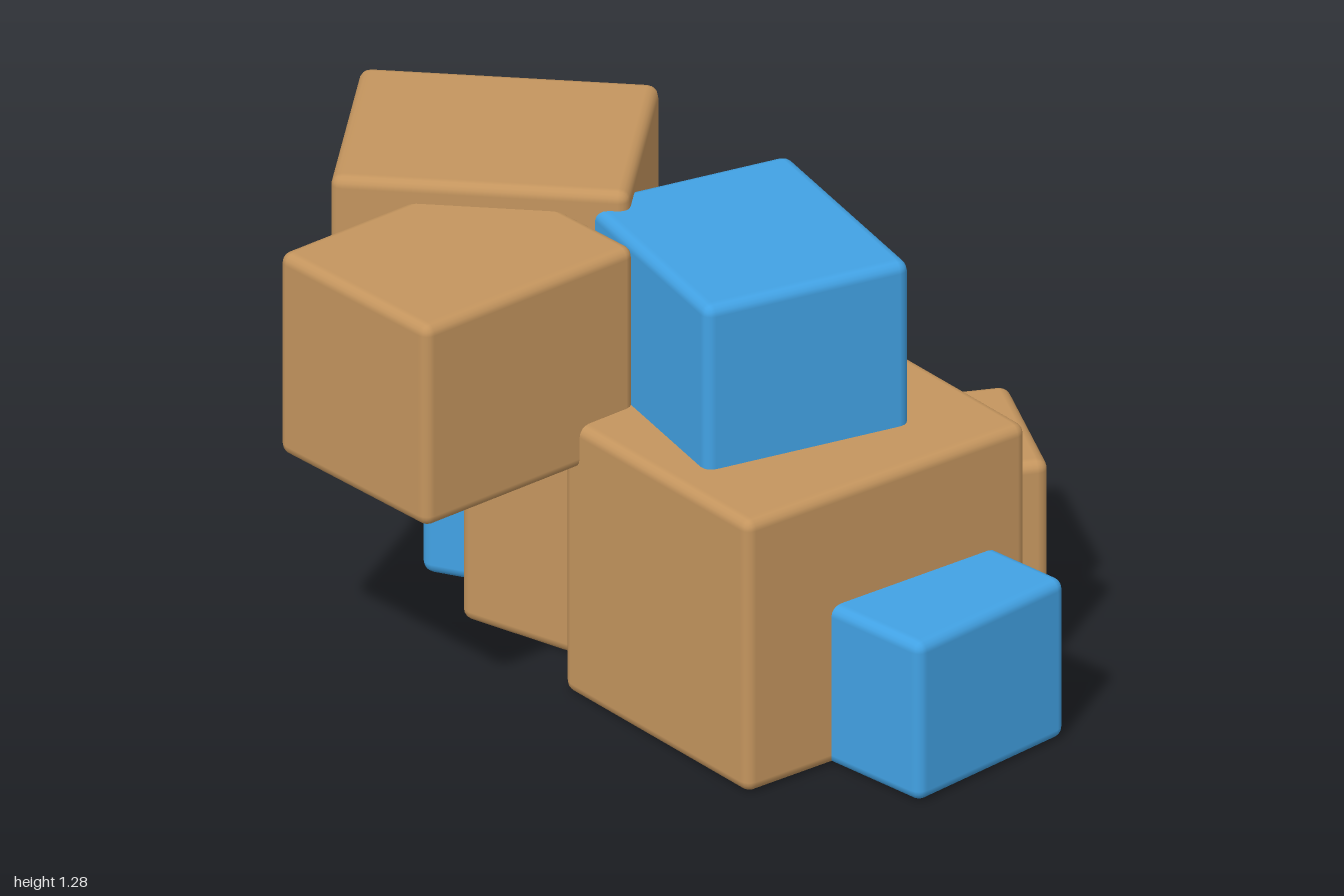
import * as THREE from 'three';
import { RoundedBoxGeometry } from 'three/addons/geometries/RoundedBoxGeometry.js';

const DEG = Math.PI / 180;

export function createModel() {
  const model = new THREE.Group();
  model.name = 'boxPile';

  const brown = new THREE.MeshStandardMaterial({ color: 0xc4955e });
  brown.name = 'cardboard brown';
  const blue = new THREE.MeshStandardMaterial({ color: 0x42a2e4 });
  blue.name = 'bright blue';

  // A softly bevelled box standing on height y0 and turned about the vertical
  function addBox(name, material, [w, d], [y0, y1], [x, z], turn) {
    const geometry = new RoundedBoxGeometry(w, y1 - y0, d, 2, 0.03);
    const box = new THREE.Mesh(geometry, material);
    box.name = name;
    box.position.set(x, (y0 + y1) / 2, z);
    box.rotation.y = turn * DEG;
    model.add(box);
  }

  // Lower layer: name, colour, width and depth, bottom and top, centre (x, z), turn
  addBox('largeFrontBox', brown, [0.9, 0.75], [0, 0.77], [0.285, 0.24], 45.7);
  addBox('middleBox', brown, [0.74, 0.57], [0, 0.55], [-0.146, -0.125], -28.5);
  addBox('smallBackBox', brown, [0.56, 0.45], [0, 0.48], [0.535, -0.29], 20.8);
  addBox('blueFrontBox', blue, [0.5, 0.53], [0, 0.45], [0.635, 0.455], -37);
  addBox('blueBackBox', blue, [0.49, 0.56], [0, 0.5], [-0.43, -0.5], -14.6);

  // Upper layer
  addBox('blueTopBox', blue, [0.58, 0.68], [0.65, 1.23], [0.145, 0.105], 34.5);
  addBox('leftTopBox', brown, [0.7, 0.57], [0.65, 1.22], [-0.57, 0.28], 48.4);
  addBox('backTopBox', brown, [0.76, 0.63], [0.65, 1.28], [-0.545, -0.27], 0.4);

  return model;
}
